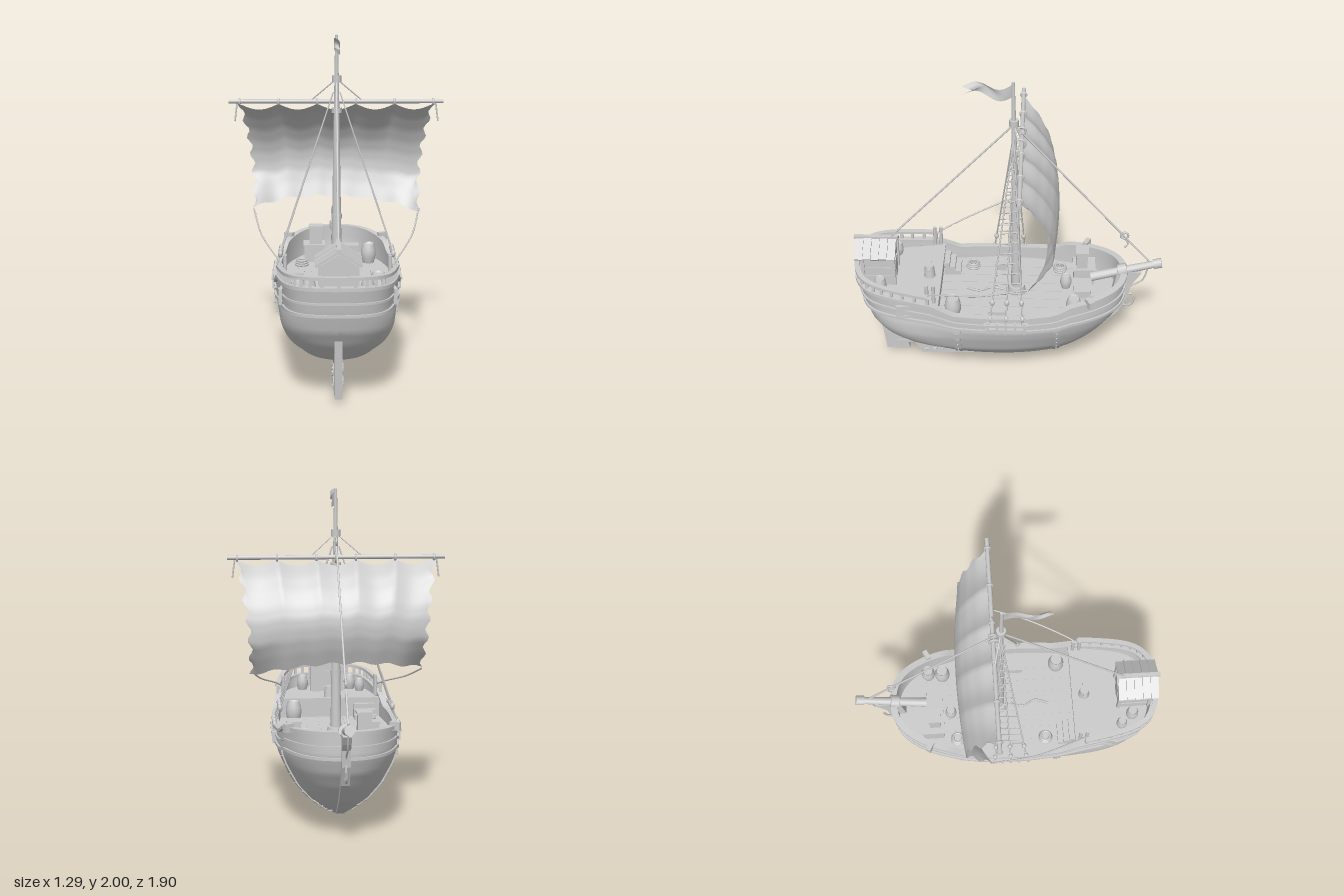
import * as THREE from 'three';
import { toCreasedNormals } from 'three/addons/utils/BufferGeometryUtils.js';

const mat = new THREE.MeshStandardMaterial({ color: 0xcccccc, side: THREE.DoubleSide });
const V = (x, y, z) => new THREE.Vector3(x, y, z);
const lerp = THREE.MathUtils.lerp, clamp = THREE.MathUtils.clamp;
const SIDES = [-1, 1];

// piecewise-linear lookup from [input, output] pairs
const table = (...p) => (x) => {
  if (x <= p[0][0]) return p[0][1];
  for (let i = 1; i < p.length; i++) if (x <= p[i][0])
    return lerp(p[i - 1][1], p[i][1], (x - p[i - 1][0]) / (p[i][0] - p[i - 1][0]));
  return p[p.length - 1][1];
};

// hull rules: bow end, stern end and half width by level, and sheer height by z
const bowZ = table([0.08, -0.2], [0.1, -0.33], [0.15, -0.41], [0.23, -0.51], [0.34, -0.61], [0.44, -0.68], [0.55, -0.725], [0.7, -0.725]);
const sternZ = table([0.08, 0.05], [0.1, 0.2], [0.15, 0.46], [0.23, 0.68], [0.34, 0.8], [0.44, 0.865], [0.55, 0.9], [0.7, 0.93]);
const width = table([0.08, 0], [0.1, 0.08], [0.15, 0.17], [0.2, 0.235], [0.28, 0.3], [0.4, 0.35], [0.5, 0.368], [0.7, 0.37]);
const sheer = table([-0.74, 0.69], [-0.39, 0.65], [-0.3, 0.605], [-0.1, 0.588], [0.32, 0.592], [0.46, 0.655], [0.93, 0.705]);
const levelToY = (l, z) => l < 0.4 ? l : 0.4 + (l - 0.4) / 0.3 * (sheer(z) - 0.4);
const yToLevel = (y, z) => y < 0.4 ? y : 0.4 + (y - 0.4) * 0.3 / (sheer(z) - 0.4);
function fullness(u, l) {
  const k = clamp((l - 0.25) / 0.3, 0, 1), a = Math.min(1, Math.abs(u));
  if (u < 0) return Math.pow(1 - Math.pow(a, lerp(2, 2.5, k)), 0.42);
  return (1 - 0.3 * k * Math.pow(a, 1.5)) * Math.pow(1 - Math.pow(a, lerp(2.2, 12, k)), 0.4);
}
function hullPoint(l, a, out = 0) {
  const u = Math.cos(a), mid = (bowZ(l) + sternZ(l)) / 2, z = mid + u * (sternZ(l) - bowZ(l)) / 2;
  const x = width(l) * fullness(u, l) * Math.sign(Math.sin(a));
  return V(Math.abs(Math.sin(a)) < 1e-6 ? 0 : x + out * Math.sin(a), levelToY(l, z), z + out * u);
}
function halfAt(y, z) {
  const l = yToLevel(y, z), mid = (bowZ(l) + sternZ(l)) / 2;
  return width(l) * fullness(clamp((z - mid) / (sternZ(l) - bowZ(l)) * 2, -1, 1), l);
}

// surface from a rule f(s, t), both 0..1
function grid(nu, nv, f) {
  const g = new THREE.PlaneGeometry(1, 1, nu, nv), p = g.attributes.position;
  for (let j = 0, k = 0; j <= nv; j++) for (let i = 0; i <= nu; i++, k++) {
    const v = f(i / nu, j / nv);
    p.setXYZ(k, v.x, v.y, v.z);
  }
  g.computeVertexNormals();
  return g;
}
// rectangular strip swept along a mostly level path
function sweep(pts, w, h) {
  const n = pts.length - 1, closed = pts[0].distanceTo(pts[n]) < 1e-4;
  const corner = [[-1, -1], [1, -1], [1, 1], [-1, 1], [-1, -1]];
  const g = grid(4, n, (s, t) => {
    const i = Math.round(t * n), c = corner[Math.round(s * 4)];
    const a = pts[i > 0 ? i - 1 : closed ? n - 1 : 0], b = pts[i < n ? i + 1 : closed ? 1 : n];
    const d = V(b.z - a.z, 0, a.x - b.x).normalize();
    return pts[i].clone().addScaledVector(d, c[0] * w / 2).add(V(0, c[1] * h / 2, 0));
  });
  return toCreasedNormals(g, 0.6);
}
const tube = (pts, r, n = 24) => new THREE.TubeGeometry(new THREE.CatmullRomCurve3(pts), n, r, 6);
const box = (w, h, d) => new THREE.BoxGeometry(w, h, d);
// slab cut from a (z, y) outline and centred on x
function slab(outline, thick) {
  const g = new THREE.ExtrudeGeometry(new THREE.Shape(outline.map(p => new THREE.Vector2(...p))), { depth: thick, bevelEnabled: false });
  return g.translate(0, 0, -thick / 2).rotateY(-Math.PI / 2);
}
function rod(a, b, r0, r1 = r0, seg = 10) {
  const d = b.clone().sub(a), g = new THREE.CylinderGeometry(r1, r0, d.length(), seg);
  g.applyQuaternion(new THREE.Quaternion().setFromUnitVectors(V(0, 1, 0), d.normalize()));
  return g.translate((a.x + b.x) / 2, (a.y + b.y) / 2, (a.z + b.z) / 2);
}

export function createModel() {
  const ship = new THREE.Group();
  const put = (name, geo, x = 0, y = 0, z = 0) => {
    const m = new THREE.Mesh(geo, mat);
    m.name = name; m.position.set(x, y, z); ship.add(m);
    return m;
  };
  const ring = (l, out, n = 120) => Array.from({ length: n + 1 }, (_, i) => hullPoint(l, i / n * Math.PI * 2, out));

  // hull shell, rails and wales
  put('hull', grid(120, 32, (s, t) => hullPoint(lerp(0.08, 0.7, Math.pow(t, 1.3)), s * Math.PI * 2)));
  put('bulwarkLining', grid(120, 3, (s, t) => hullPoint(lerp(0.53, 0.7, t), s * Math.PI * 2, -0.02)));
  put('capRail', sweep(ring(0.7, -0.004), 0.04, 0.02));
  put('lowerWale', sweep(ring(0.545, 0.003), 0.018, 0.016));
  put('upperWale', sweep(ring(0.615, 0.003), 0.014, 0.012));
  for (const s of SIDES) for (const z of [0.3, -0.31]) {
    put('hullBand', toCreasedNormals(grid(3, 20, (i, t) => {
      const y = lerp(0.125, 0.5, t), k = Math.round(i * 3), zz = z + (k < 2 ? -0.021 : 0.021);
      return V(s * (halfAt(y, zz) + (k % 3 ? 0.01 : -0.002)), y, zz);
    }), 0.6));
    for (let i = 0; i < 6; i++) {
      const y = 0.18 + i * 0.055;
      put('bandBolt', new THREE.SphereGeometry(0.006, 6, 4), s * (halfAt(y, z) + 0.011), y, z);
    }
  }

  // keel, stem, sternpost and rudder
  put('keelAndStem', slab([[-0.68, 0.71], [-0.83, 0.69], [-0.8, 0.64], [-0.77, 0.6], [-0.755, 0.5], [-0.7, 0.38], [-0.58, 0.25], [-0.47, 0.17],
    [-0.36, 0.11], [-0.2, 0.06], [0, 0.03], [0.3, 0.005], [0.565, 0.005], [0.61, 0.1], [0.64, 0.19], [0.72, 0.27], [0.46, 0.19], [0.2, 0.13],
    [-0.1, 0.11], [-0.3, 0.14], [-0.46, 0.26], [-0.58, 0.39], [-0.65, 0.5]], 0.05));
  put('rudder', slab([[0.84, 0.5], [0.79, 0.035], [0.64, 0.035], [0.655, 0.1], [0.7, 0.14], [0.71, 0.25], [0.79, 0.36], [0.83, 0.46]], 0.045));
  for (const y of [0.1, 0.18]) put('rudderHinge', box(0.06, 0.018, 0.1), 0, y, 0.67);
  let seed = 7;
  const rnd = () => (seed = seed * 16807 % 2147483647) / 2147483647;
  for (let i = 0; i < 60; i++) {
    const s = SIDES[i % 2], aft = i < 36, z = aft ? lerp(0.36, 0.56, rnd()) : lerp(-0.4, -0.26, rnd()), y = aft ? lerp(0.02, 0.14, rnd()) : lerp(0.12, 0.19, rnd());
    put('barnacle', new THREE.IcosahedronGeometry(0.006 + rnd() * 0.007), s * (aft ? 0.026 : Math.max(0.026, halfAt(y, z))), y, z);
  }

  // decks, bulkhead and stairs
  const deck = (y, z0, z1) => grid(2, 40, (s, t) => {
    const z = lerp(z0, z1, t);
    return V((s * 2 - 1) * halfAt(y, z) * 0.99, y, z);
  });
  put('mainDeck', deck(0.515, -0.71, 0.44));
  put('aftDeck', deck(0.625, 0.43, 0.91));
  put('bulkhead', box(0.65, 0.11, 0.02), 0, 0.57, 0.43);
  put('bulkheadBeam', box(0.66, 0.02, 0.035), 0, 0.63, 0.43);
  for (let i = 0; i < 3; i++) put('stairStep', box(0.14, 0.03 * (i + 1), 0.035), -0.22, 0.515 + 0.015 * (i + 1), 0.325 + i * 0.035);
  for (let i = -3; i <= 3; i++) put('deckSeam', box(0.004, 0.003, 0.9), i * 0.08, 0.516, -0.02);

  // stern railing
  const aMax = Math.acos(0.45), railPts = [];
  for (let i = 0; i <= 60; i++) railPts.push(hullPoint(0.7, lerp(-aMax, aMax, i / 60)).add(V(0, 0.06, 0)));
  put('sternRail', sweep(railPts, 0.03, 0.018));
  for (let i = 0; i <= 60; i += 3) put('railPost', box(0.018, 0.06, 0.018), railPts[i].x, railPts[i].y - 0.03, railPts[i].z);

  // stern hut with plank roof
  put('hutWalls', box(0.2, 0.2, 0.19), 0, 0.72, 0.795);
  put('hutGable', slab([[-0.1, 0.82], [0.1, 0.82], [0, 0.885]], 0.19).rotateY(Math.PI / 2), 0, 0, 0.795);
  for (const s of SIDES) {
    for (let i = 0; i < 5; i++) put('roofPlank', box(0.15, 0.014, 0.048), s * 0.062, 0.87 + 0.004 * (i % 2), 0.71 + i * 0.05).rotation.z = -s * 0.57;
    for (const z of [0.7, 0.89]) put('hutCorner', box(0.022, 0.2, 0.022), s * 0.1, 0.73, z);
    for (const y of [0.69, 0.75]) put('hutBatten', box(0.008, 0.012, 0.19), s * 0.102, y, 0.795);
  }
  put('roofRidge', box(0.025, 0.02, 0.27), 0, 0.915, 0.81);
  put('hutDoor', box(0.08, 0.13, 0.01), 0, 0.7, 0.698);

  // gunports, cleats and shroud channels
  for (const s of SIDES) {
    const port = new THREE.Group();
    port.name = 'gunport';
    for (const k of SIDES) for (const g of [[box(0.02, 0.09, 0.014), 0, k * 0.042], [box(0.02, 0.014, 0.09), k * 0.038, 0]]) {
      const m = new THREE.Mesh(g[0], mat); m.position.set(0, g[1], g[2]); port.add(m);
    }
    port.add(new THREE.Mesh(box(0.008, 0.07, 0.08), mat));
    port.position.set(s * (halfAt(0.59, 0.62) + 0.004), 0.59, 0.62);
    port.rotation.y = s * 0.14;
    ship.add(port);
    put('cleat', box(0.06, 0.05, 0.03), s * 0.305, 0.67, -0.5).rotation.y = s * 0.5;
    put('channel', box(0.035, 0.014, 0.27), s * 0.378, 0.55, 0);
    put('channelLower', box(0.02, 0.012, 0.25), s * 0.376, 0.51, 0);
    for (let i = 0; i < 5; i++) put('chainPlate', box(0.018, 0.08, 0.014), s * 0.38, 0.525, -0.11 + i * 0.055);

    // shrouds, deadeyes and ratlines
    const top = V(s * 0.02, 1.66, -0.035), feet = [0.1, 0, -0.1].map(z => V(s * 0.385, 0.56, z));
    for (const f of feet) {
      put('shroud', rod(f, top, 0.0045, 0.0045, 6));
      for (const k of [0.03, 0.12]) {
        const p = f.clone().lerp(top, k);
        put('deadeye', new THREE.SphereGeometry(0.015, 8, 6), p.x, p.y, p.z).scale.y = 1.5;
      }
    }
    for (let k = 0.17; k < 0.85; k += 0.055) put('ratline', rod(feet[0].clone().lerp(top, k - 0.005), feet[2].clone().lerp(top, k + 0.005), 0.004, 0.004, 5));
    put('topRope', rod(V(0, 1.74, -0.035), V(s * 0.15, 1.61, -0.08), 0.004));
    put('sheetRope', tube([V(s * 0.51, 0.93, -0.13), V(s * 0.45, 0.83, 0.15), V(s * 0.35, 0.75, 0.4), V(s * 0.315, 0.72, 0.47)], 0.005));
    put('yardEndRope', rod(V(s * 0.6, 1.59, -0.08), V(s * 0.615, 1.48, -0.08), 0.005));
  }

  // mast, yard, bowsprit and stays
  put('mast', rod(V(0, 0.515, -0.055), V(0, 2, -0.03), 0.034, 0.009, 16));
  put('mastFoot', new THREE.CylinderGeometry(0.05, 0.06, 0.05, 12), 0, 0.54, -0.055);
  put('mastCollar', new THREE.CylinderGeometry(0.028, 0.028, 0.04, 12), 0, 1.74, -0.035);
  for (const y of [0.9, 1.55]) put('mastBinding', new THREE.CylinderGeometry(0.032, 0.032, 0.03, 12), 0, y, -0.045);
  put('yard', rod(V(-0.65, 1.6, -0.08), V(0.645, 1.6, -0.08), 0.013));
  put('yardSling', new THREE.TorusGeometry(0.03, 0.009, 6, 14), 0, 1.6, -0.07).rotation.y = Math.PI / 2;
  put('bowsprit', rod(V(0, 0.64, -0.52), V(0, 0.755, -0.94), 0.03, 0.022, 12));
  put('bowspritCap', rod(V(0, 0.745, -0.9), V(0, 0.757, -0.95), 0.03));
  put('bowspritLashing', rod(V(0, 0.69, -0.69), V(0, 0.705, -0.74), 0.04));
  put('foreStay', rod(V(0, 1.73, -0.035), V(0, 0.77, -0.87), 0.006));
  put('backStay', rod(V(0, 1.73, -0.035), V(0, 0.92, 0.72), 0.006));
  for (const [y, z] of [[1.69, -0.08], [0.96, -0.71]]) put('stayRing', new THREE.TorusGeometry(0.022, 0.007, 6, 14), 0, y, z).rotation.y = Math.PI / 2;
  put('stayHook', tube([V(0, 0.95, -0.7), V(0, 0.9, -0.735), V(0, 0.87, -0.715)], 0.005));

  // square sail, bellied toward the bow
  const belly = table([0, 0], [0.1, 0.075], [0.25, 0.15], [0.38, 0.197], [0.5, 0.222], [0.6, 0.228], [0.72, 0.222], [0.85, 0.2], [1, 0.165]);
  put('sail', grid(60, 28, (s, v) => {
    const u = s * 2 - 1, edge = Math.abs(u) > 0.99 ? 0.014 * Math.sin(v * 37 + u * 2) : 0;
    const top = 1.585 - 0.035 * Math.abs(Math.sin(2.5 * Math.PI * (u + 1)));
    const foot = 0.99 - 0.065 * u * u - 0.015 * u + 0.008 * Math.sin(u * 19);
    const x = u * (lerp(0.585, 0.51, v) - 0.02 * Math.sin(v * Math.PI)) + edge;
    return V(x, lerp(top, foot, v), -0.08 - belly(v) * (1 - 0.15 * u * u) + 0.1 * Math.pow(u, 4) * Math.max(0, v - 0.7) / 0.3);
  }));
  for (let i = 0; i < 6; i++) put('sailTie', new THREE.TorusGeometry(0.016, 0.007, 6, 12), -0.585 + i * 0.234, 1.597, -0.08).rotation.y = Math.PI / 2;

  // flag with a forked tail
  put('flag', grid(16, 4, (s, t) => V(0.018 * Math.sin(s * 7),
    lerp(1.985, 1.905, t) + s * (0.03 * (t - 0.5)) - 0.02 * Math.sin(s * 6), -0.025 + s * (0.28 - 0.06 * (1 - Math.abs(t * 2 - 1))))));

  // anchor hanging under the bow
  put('anchorRope', tube([V(0, 0.72, -0.87), V(0, 0.62, -0.84), V(0, 0.57, -0.77), V(0, 0.52, -0.745)], 0.005));
  put('anchorShank', rod(V(0, 0.53, -0.745), V(0, 0.42, -0.755), 0.007));
  put('anchorStock', rod(V(0, 0.505, -0.715), V(0, 0.51, -0.78), 0.006));
  put('anchorArms', tube([V(0, 0.475, -0.7), V(0, 0.43, -0.72), V(0, 0.415, -0.755), V(0, 0.435, -0.785), V(0, 0.48, -0.8)], 0.008));

  // deck cargo and fittings
  const barrelProfile = [[0, 0], [0.036, 0], [0.046, 0.035], [0.048, 0.06], [0.046, 0.085], [0.036, 0.12], [0.032, 0.112], [0, 0.112]].map(p => new THREE.Vector2(...p));
  for (const [x, y, z, k] of [[0.24, 0.515, 0.33, 1.05], [0.21, 0.515, -0.41, 1], [0.22, 0.515, -0.5, 0.9], [-0.05, 0.515, -0.365, 0.75],
    [0.16, 0.625, 0.78, 0.8], [-0.16, 0.625, 0.78, 0.8], [-0.22, 0.625, 0.71, 0.7]])
    put('barrel', toCreasedNormals(new THREE.LatheGeometry(barrelProfile, 14), 0.6), x, y, z).scale.setScalar(k);
  for (const [x, y, z, w, h, d] of [[0.25, 0.545, 0.06, 0.08, 0.06, 0.1], [-0.14, 0.57, -0.48, 0.13, 0.11, 0.13], [-0.13, 0.685, -0.465, 0.08, 0.12, 0.07],
    [0, 0.54, -0.47, 0.13, 0.05, 0.1], [0.1, 0.555, -0.56, 0.09, 0.08, 0.08], [-0.24, 0.54, 0.05, 0.07, 0.05, 0.07]]) {
    put('crate', box(w, h, d), x, y, z);
    put('crateLid', box(w + 0.012, 0.012, d + 0.012), x, y + h / 2, z);
  }
  for (const [x, z] of [[-0.24, 0.23], [-0.22, -0.33]]) for (let i = 0; i < 3; i++)
    put('ropeCoil', new THREE.TorusGeometry(0.038 - i * 0.004, 0.008, 6, 18), x, 0.523 + i * 0.013, z).rotation.x = Math.PI / 2;
  put('looseRope', tube([V(0, 0.523, 0.02), V(-0.02, 0.523, 0.1), V(0.015, 0.523, 0.18), V(-0.01, 0.523, 0.26)], 0.007));
  put('capstan', new THREE.CylinderGeometry(0.028, 0.036, 0.08, 12), 0, 0.665, 0.49);
  put('capstanBar', box(0.1, 0.014, 0.014), 0, 0.695, 0.49);
  for (const s of SIDES) for (const z of [0.44, 0.48]) put('railPin', rod(V(s * 0.3, 0.65, z), V(s * 0.3, 0.78, z), 0.011));
  return ship;
}
